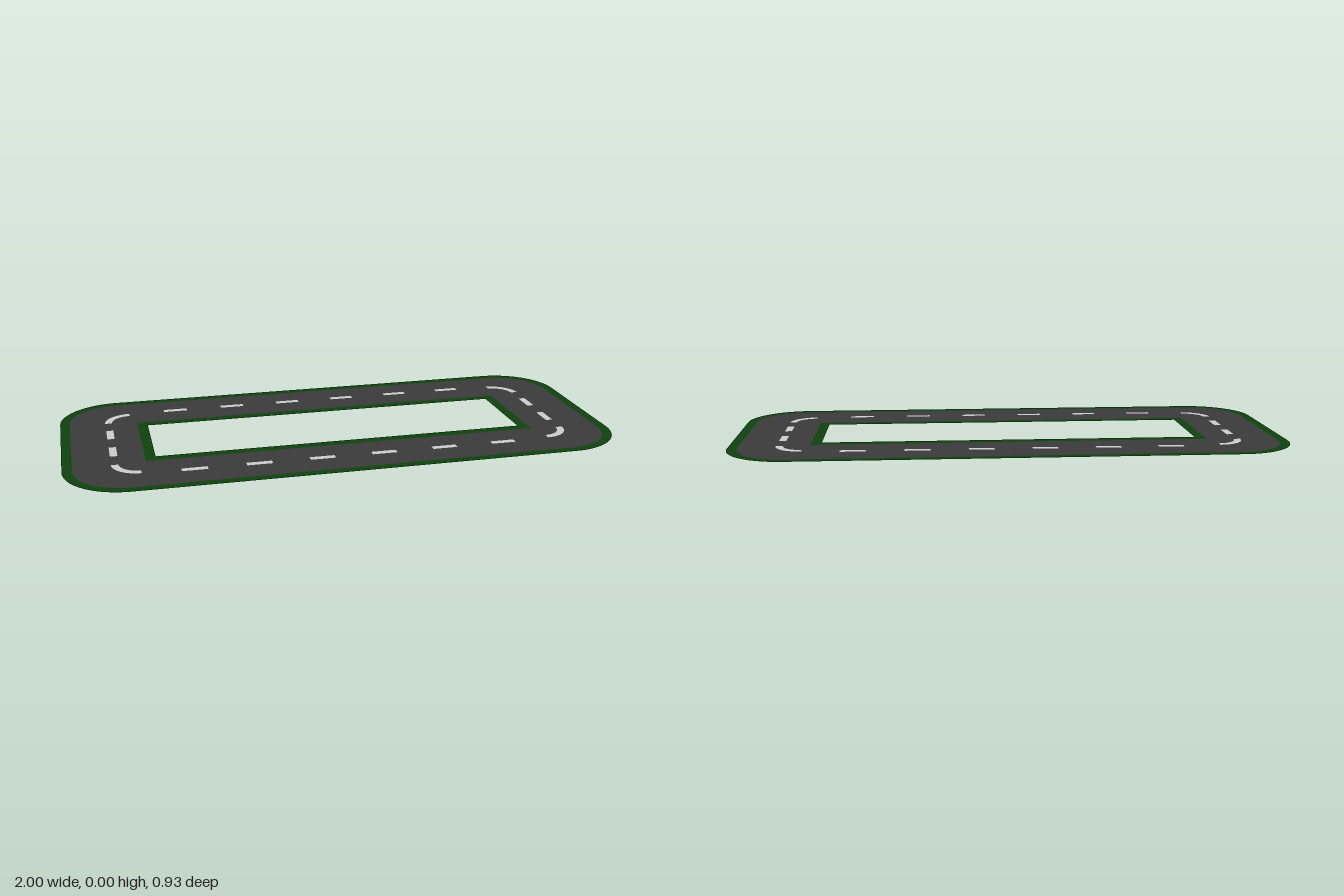
import * as THREE from 'three';

export function createModel() {
  const track = new THREE.Group();
  track.name = 'roadLoop';

  const asphalt = new THREE.MeshStandardMaterial({ color: 0x3b3b3b, side: THREE.DoubleSide });
  asphalt.name = 'asphalt grey';
  const grass = new THREE.MeshStandardMaterial({ color: 0x10420f, side: THREE.DoubleSide });
  grass.name = 'grass green';
  const paint = new THREE.MeshStandardMaterial({ color: 0xcccccc });
  paint.name = 'line paint';

  // Rectangle outline with half sizes hx, hz and optional corner radius r
  function outline(PathType, hx, hz, r = 0) {
    const p = new PathType();
    if (r === 0) {
      p.moveTo(-hx, -hz).lineTo(hx, -hz).lineTo(hx, hz).lineTo(-hx, hz).closePath();
      return p;
    }
    const cx = hx - r, cz = hz - r, q = Math.PI / 2;
    p.moveTo(-cx, -hz);
    p.absarc(cx, -cz, r, -q, 0);
    p.absarc(cx, cz, r, 0, q);
    p.absarc(-cx, cz, r, q, 2 * q);
    p.absarc(-cx, -cz, r, 2 * q, 3 * q);
    p.closePath();
    return p;
  }

  // Lay a flat geometry on the ground, facing up
  function lay(name, geometry, material, x = 0, y = 0, z = 0) {
    geometry.rotateX(-Math.PI / 2);
    const mesh = new THREE.Mesh(geometry, material);
    mesh.name = name;
    mesh.position.set(x, y, z);
    track.add(mesh);
  }

  function ring(name, outer, inner, material) {
    const shape = outline(THREE.Shape, ...outer);
    shape.holes.push(outline(THREE.Path, ...inner));
    lay(name, new THREE.ShapeGeometry(shape, 10), material);
  }

  // Road surface with a grass verge along each edge
  ring('outerVerge', [1, 0.465, 0.22], [0.965, 0.43, 0.185], grass);
  ring('road', [0.965, 0.43, 0.185], [0.715, 0.204], asphalt);
  ring('innerVerge', [0.715, 0.204], [0.678, 0.166], grass);

  // Dashed centre line
  const lift = 0.001;
  for (const s of [-1, 1]) {
    for (let i = 0; i < 6; i++) {
      lay('longSideDash', new THREE.PlaneGeometry(0.09, 0.025), paint, (i - 2.5) * 0.2235, lift, s * 0.317);
    }
    for (const t of [-1, 1]) {
      lay('shortSideDash', new THREE.PlaneGeometry(0.026, 0.092), paint, s * 0.821, lift, t * 0.089);

      // Quarter-circle dash at each corner
      const start = Math.atan2(-t, s) - Math.PI / 4;
      lay('cornerDash', new THREE.RingGeometry(0.072, 0.098, 10, 1, start, Math.PI / 2),
        paint, s * 0.737, lift, t * 0.217);
    }
  }
  return track;
}
